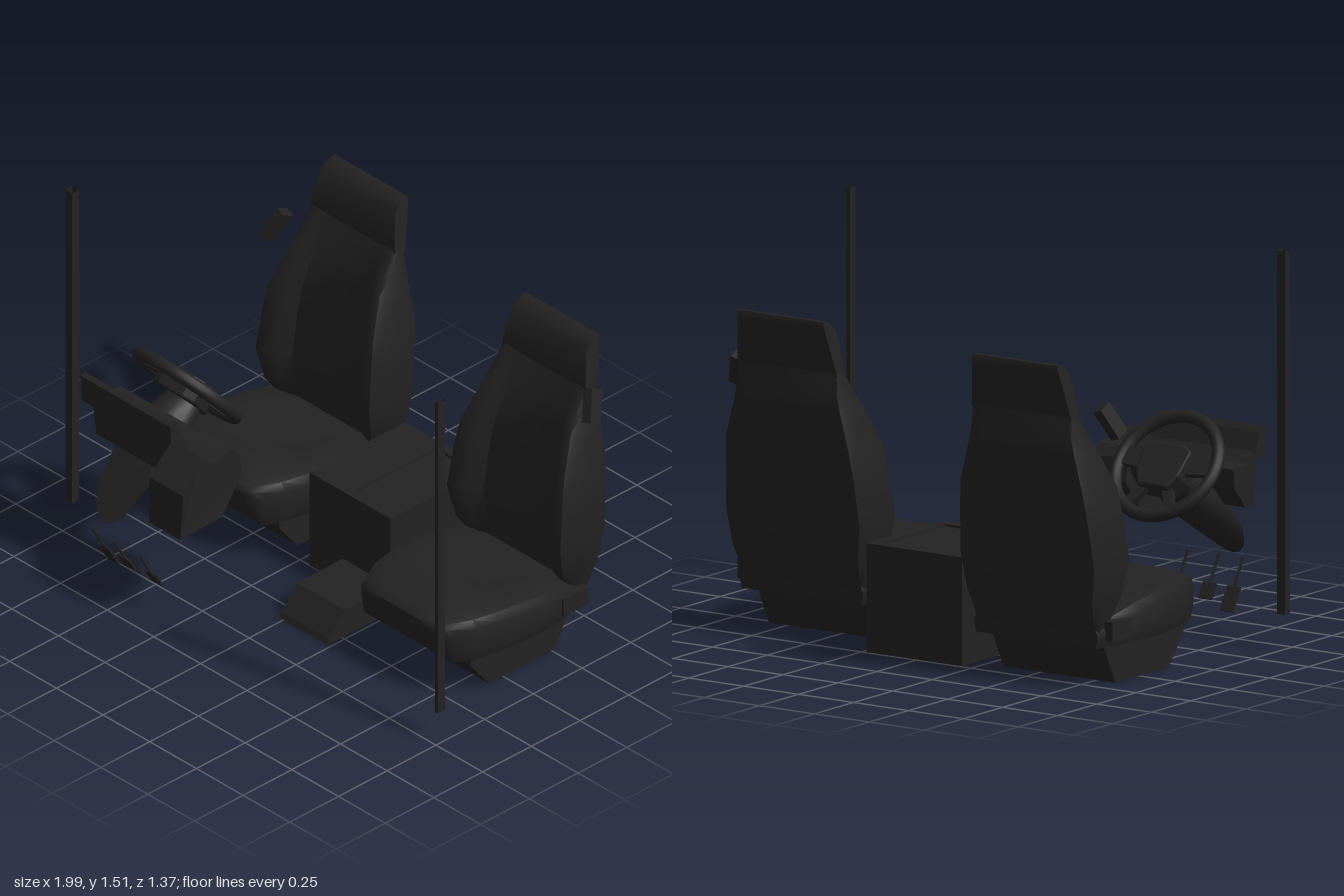
import * as THREE from 'three';
import { toCreasedNormals } from 'three/addons/utils/BufferGeometryUtils.js';

const trim = new THREE.MeshStandardMaterial({ color: 0x222222, side: THREE.DoubleSide });
trim.name = 'black trim';

function add(parent, name, geometry, x = 0, y = 0, z = 0) {
  const mesh = new THREE.Mesh(geometry, trim);
  mesh.name = name;
  mesh.position.set(x, y, z);
  parent.add(mesh);
  return mesh;
}

// Box given by its limits
function block(parent, name, x0, x1, y0, y1, z0, z1) {
  return add(parent, name, new THREE.BoxGeometry(x1 - x0, y1 - y0, z1 - z0),
    (x0 + x1) / 2, (y0 + y1) / 2, (z0 + z1) / 2);
}

// Side profile of [z, y] points stretched from x0 to x1
function sideExtrude(points, x0, x1) {
  const shape = new THREE.Shape(points.map(([z, y]) => new THREE.Vector2(z, y)));
  const g = new THREE.ExtrudeGeometry(shape, { depth: x1 - x0, bevelEnabled: false });
  return g.rotateY(-Math.PI / 2).translate(x1, 0, 0);
}

// Drops the faces lying on the floor, leaving a hollow shell
function openBottom(geometry) {
  const p = geometry.attributes.position, kept = [];
  for (let i = 0; i < p.count; i += 3) {
    if (Math.max(p.getY(i), p.getY(i + 1), p.getY(i + 2)) > 0.001) kept.push(i, i + 1, i + 2);
  }
  geometry.setIndex(kept);
  geometry.clearGroups();
  return geometry;
}

// Skin over closed rings (counter-clockwise about the direction of advance), capped at both ends
function loft(rings, crease = 0.6) {
  const n = rings[0].length, pos = rings.flat(2), index = [];
  for (let i = 0; i < rings.length - 1; i++) {
    for (let j = 0; j < n; j++) {
      const a = i * n + j, b = i * n + (j + 1) % n;
      index.push(a, b, b + n, a, b + n, a + n);
    }
  }
  [0, rings.length - 1].forEach((r, end) => {
    const centre = pos.length / 3;
    for (let k = 0; k < 3; k++) pos.push(rings[r].reduce((s, p) => s + p[k], 0) / n);
    for (let j = 0; j < n; j++) {
      const a = r * n + j, b = r * n + (j + 1) % n;
      if (end) index.push(centre, a, b); else index.push(centre, b, a);
    }
  });
  const g = new THREE.BufferGeometry();
  g.setAttribute('position', new THREE.Float32BufferAttribute(pos, 3));
  g.setIndex(index);
  return toCreasedNormals(g, crease);
}

function createSeat(name, side) {
  const seat = new THREE.Group();
  seat.name = name;

  // Hollow pedestal with sloped ends
  const base = sideExtrude([[0.165, 0.16], [0.165, 0.12], [0.07, 0], [-0.27, 0], [-0.35, 0.16]], -0.255, 0.255);
  add(seat, 'seatBase', openBottom(base));

  // Cushion: z, half width, bottom, side top, centre top; the nose leans back below
  const cushion = [
    [-0.42, 0.28, 0.155, 0.25, 0.25], [-0.33, 0.30, 0.155, 0.275, 0.27], [-0.2, 0.32, 0.155, 0.31, 0.30],
    [-0.05, 0.32, 0.155, 0.33, 0.32], [0.06, 0.303, 0.155, 0.335, 0.335], [0.16, 0.28, 0.155, 0.335, 0.347],
    [0.25, 0.245, 0.155, 0.315, 0.328], [0.27, 0.225, 0.175, 0.305, 0.318], [0.282, 0.185, 0.2, 0.295, 0.308],
  ].map(([z, w, yb, ys, yc]) => {
    const half = [[w * 0.97, yb], [w, yb + 0.03], [w, ys - 0.045], [w * 0.94, ys - 0.01], [w * 0.82, ys], [w * 0.5, yc]];
    const lean = y => z > 0.2 ? z - 0.13 * Math.max(0, 0.3 - y) : z;
    return [...half.map(([x, y]) => [x, y, lean(y)]), ...half.reverse().map(([x, y]) => [-x, y, lean(y)])];
  });
  add(seat, 'seatCushion', loft(cushion, 0.75));

  // Backrest: y, half width, back, bolster front, centre front
  const backrest = [
    [0.155, 0.27, -0.405, -0.36, -0.36], [0.25, 0.285, -0.43, -0.33, -0.35], [0.33, 0.30, -0.46, -0.27, -0.335],
    [0.47, 0.32, -0.475, -0.24, -0.325], [0.65, 0.305, -0.497, -0.265, -0.345], [0.75, 0.293, -0.51, -0.285, -0.36],
    [0.9, 0.252, -0.512, -0.36, -0.40], [0.96, 0.238, -0.512, -0.40, -0.425], [1.045, 0.225, -0.512, -0.455, -0.46],
  ].map(([y, w, zb, zf, zc]) => {
    const d = zf - zb;
    const half = [[0.58 * w, zc], [0.72 * w, zc + 0.6 * (zf - zc)], [0.85 * w, zf - 0.02 * d], [0.95 * w, zf - 0.04 * d],
      [w, zf - 0.2 * d], [w, zb + 0.15 * d], [0.95 * w, zb]];
    return [...half.map(([x, z]) => [x, y, z]), ...half.reverse().map(([x, z]) => [-x, y, z])];
  });
  add(seat, 'backrest', loft(backrest, 0.8));

  // Headrest leaning back: y, half width, back, front
  const headrest = [[1.03, 0.226, -0.51, -0.46], [1.06, 0.222, -0.516, -0.458], [1.2, 0.2, -0.548, -0.482],
    [1.225, 0.196, -0.555, -0.51], [1.24, 0.193, -0.55, -0.53]]
    .map(([y, w, b, f]) => [[-w, y, f], [w, y, f], [w, y, b], [-w, y, b]]);
  add(seat, 'headrest', loft(headrest, 0.9));

  // Recline housing on the outer side
  block(seat, 'reclineHousing', side * 0.295 - 0.025, side * 0.295 + 0.025, 0.18, 0.255, -0.38, -0.25);
  return seat;
}

function createConsole() {
  const group = new THREE.Group();
  group.name = 'centreConsole';
  add(group, 'consoleBody', openBottom(sideExtrude([[-0.49, 0], [0, 0], [0, 0.39], [-0.49, 0.39]], -0.2, 0.235)));
  // Rim around the sunken lid
  const rim = new THREE.Shape([[-0.2, 0], [0.235, 0], [0.235, 0.49], [-0.2, 0.49]].map(p => new THREE.Vector2(...p)));
  rim.holes.push(new THREE.Path([[0.005, 0.04], [0.005, 0.455], [0.195, 0.455], [0.195, 0.04]].map(p => new THREE.Vector2(...p))));
  add(group, 'consoleRim', new THREE.ExtrudeGeometry(rim, { depth: 0.022, bevelEnabled: false }).rotateX(-Math.PI / 2), 0, 0.39, 0);
  block(group, 'consoleLid', 0.01, 0.19, 0.385, 0.404, -0.45, -0.045);
  add(group, 'consoleFoot', openBottom(sideExtrude([[0, 0], [0.325, 0], [0.315, 0.02], [0.235, 0.115], [0, 0.115]], -0.02, 0.235)));
  return group;
}

function createDashboard() {
  const dash = new THREE.Group();
  dash.name = 'dashboard';
  // Instrument panel with raised hood
  add(dash, 'instrumentPanel', sideExtrude([[0.505, 0.72], [0.46, 0.68], [0.375, 0.67], [0.38, 0.6], [0.45, 0.515],
    [0.5, 0.515], [0.52, 0.7]], -0.82, -0.35));
  add(dash, 'instrumentHood', sideExtrude([[0.565, 0.69], [0.57, 0.8], [0.55, 0.81], [0.53, 0.79], [0.5, 0.71], [0.49, 0.69]], -0.83, -0.35));
  // Centre stack, its inner side flaring forward
  const stack = sideExtrude([[0.68, 0.43], [0.68, 0.63], [0.56, 0.735], [0.5, 0.69], [0.44, 0.7], [0.395, 0.697],
    [0.36, 0.655], [0.345, 0.57], [0.46, 0.43]], -0.35, -0.2);
  const p = stack.attributes.position;
  for (let i = 0; i < p.count; i++) {
    const y = p.getY(i);
    const flare = Math.min((p.getZ(i) - 0.34) / 0.3, (0.735 - y) / 0.1, 1 - (0.63 - y) * 2.5);
    if (p.getX(i) > -0.3) p.setX(i, -0.2 + 0.035 * flare);
  }
  stack.computeVertexNormals();
  add(dash, 'centreStack', stack);

  // Steering column shroud, cut off obliquely: bottom z, y, top z, y, half width
  const column = [[0.652, 0.286, 0.42, 0.62, 0.105], [0.48, 0.386, 0.38, 0.66, 0.105],
    [0.31, 0.487, 0.32, 0.68, 0.1], [0.205, 0.6, 0.26, 0.7, 0.08]].map(([bz, by, tz, ty, rx]) =>
    Array.from({ length: 20 }, (_, k) => {
      const a = k / 20 * Math.PI * 2, s = Math.sin(a) / 2;
      return [-0.62 + rx * Math.cos(a), (by + ty) / 2 + (by - ty) * s, (bz + tz) / 2 + (bz - tz) * s];
    }));
  add(dash, 'steeringColumn', loft(column));
  return dash;
}

function createWheel() {
  const wheel = new THREE.Group();
  wheel.name = 'steeringWheel';
  wheel.position.set(-0.63, 0.69, 0.215);
  wheel.lookAt(-0.63, 0.69 + 0.65, 0.215 - 0.76);
  add(wheel, 'wheelRim', new THREE.TorusGeometry(0.214, 0.025, 12, 48));
  // Hub pad, wide at the top and narrowing downwards
  const pad = new THREE.Shape([[-0.1, 0.05], [-0.06, 0.07], [0.06, 0.07], [0.1, 0.05], [0.09, -0.05], [0.06, -0.1],
    [-0.06, -0.1], [-0.09, -0.05]].map(q => new THREE.Vector2(...q)));
  add(wheel, 'wheelHub', new THREE.ExtrudeGeometry(pad, { depth: 0.075, bevelSize: 0.008, bevelThickness: 0.01, bevelSegments: 2 }), 0, 0, -0.045);
  // Four spokes
  for (const [deg, width] of [[5, 0.075], [175, 0.075], [242, 0.04], [298, 0.04]]) {
    const a = deg * Math.PI / 180;
    const spoke = add(wheel, 'wheelSpoke', new THREE.BoxGeometry(0.15, width, 0.025), 0.135 * Math.cos(a), 0.135 * Math.sin(a), 0);
    spoke.rotation.z = a;
  }
  return wheel;
}

function createPedals() {
  const pedals = new THREE.Group();
  pedals.name = 'pedals';
  // Pads hang on thin arms that lean forward: x, pad height
  for (const [x, h] of [[-0.64, 0.1], [-0.53, 0.065], [-0.39, 0.065]]) {
    const pedal = new THREE.Group();
    pedal.name = 'pedal';
    pedal.position.set(x, 0.26, 0.685);
    pedal.rotation.x = 0.51;
    add(pedal, 'pedalArm', new THREE.BoxGeometry(0.01, 0.13, 0.007), 0, -0.062, 0);
    add(pedal, 'pedalPad', new THREE.BoxGeometry(0.06, h, 0.009), 0, -0.11 - h / 2, 0);
    pedals.add(pedal);
  }
  return pedals;
}

export function createModel() {
  const model = new THREE.Group();
  model.name = 'cabInterior';

  const left = createSeat('leftSeat', 1), right = createSeat('rightSeat', -1);
  left.position.x = 0.58;
  right.position.set(-0.58, 0, -0.13);
  model.add(left, right, createConsole(), createDashboard(), createWheel(), createPedals());

  // Belt guides, level with each other on both sides
  for (const side of [1, -1]) {
    const guide = add(model, 'beltGuide', new THREE.BoxGeometry(0.042, 0.13, 0.06), side * 0.847, 1.0, -0.448);
    guide.rotation.set(-0.45, 0, side * 0.36);
  }

  // Open-ended square posts
  for (const [name, x, width] of [['leftPost', 0.987, 0.016], ['rightPost', -0.982, 0.035]]) {
    const tube = new THREE.CylinderGeometry(Math.SQRT1_2, Math.SQRT1_2, 1.375, 4, 1, true).rotateY(Math.PI / 4);
    const post = toCreasedNormals(tube.scale(width, 1, 0.035), 0.5);
    add(model, name, post, x, 0.818, 0.467);
  }
  return model;
}
